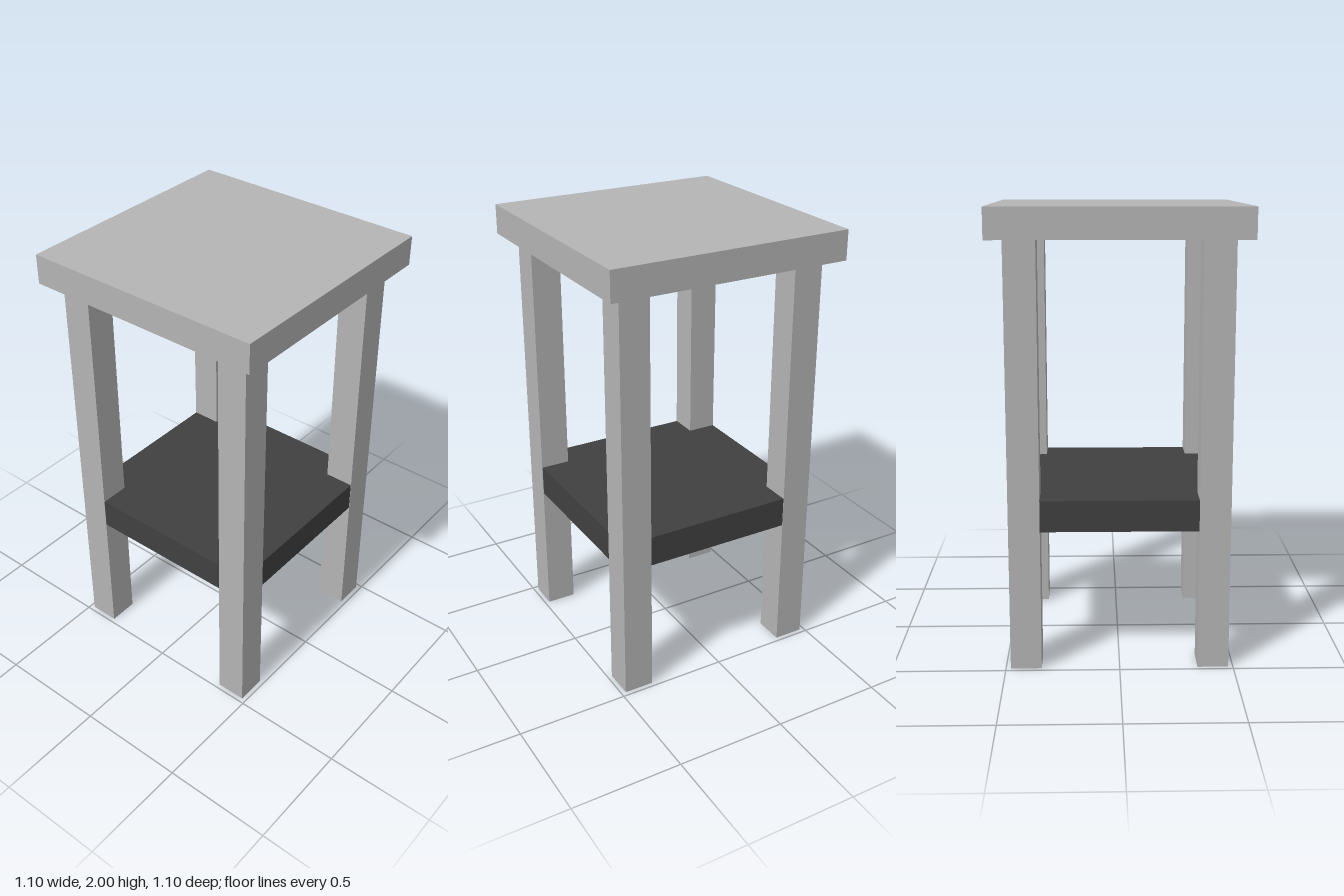
import * as THREE from 'three';

export function createModel() {
  const model = new THREE.Group();
  model.name = 'sideTable';

  const lightGrey = new THREE.MeshStandardMaterial({ color: 0xb4b4b4 });
  lightGrey.name = 'light grey';
  const darkGrey = new THREE.MeshStandardMaterial({ color: 0x404040 });
  darkGrey.name = 'dark grey';

  // Adds a box standing on the given height
  function addBox(name, width, height, depth, x, bottom, z, material) {
    const mesh = new THREE.Mesh(new THREE.BoxGeometry(width, height, depth), material);
    mesh.name = name;
    mesh.position.set(x, bottom + height / 2, z);
    model.add(mesh);
  }

  const topBottom = 1.868;
  const legWidth = 0.136;
  const legCentre = 0.411;

  // Square table top
  addBox('tableTop', 1.098, 2 - topBottom, 1.098, 0, topBottom, 0, lightGrey);

  // Four square legs
  for (const [side, x] of [['Left', legCentre], ['Right', -legCentre]]) {
    for (const [end, z] of [['front', legCentre], ['back', -legCentre]]) {
      addBox(`${end}${side}Leg`, legWidth, topBottom, legWidth, x, 0, z, lightGrey);
    }
  }

  // Lower shelf, a hair inside the outer faces of the legs
  const shelfWidth = 2 * legCentre + legWidth - 0.003;
  addBox('shelf', shelfWidth, 0.138, shelfWidth, 0, 0.626, 0, darkGrey);

  return model;
}
